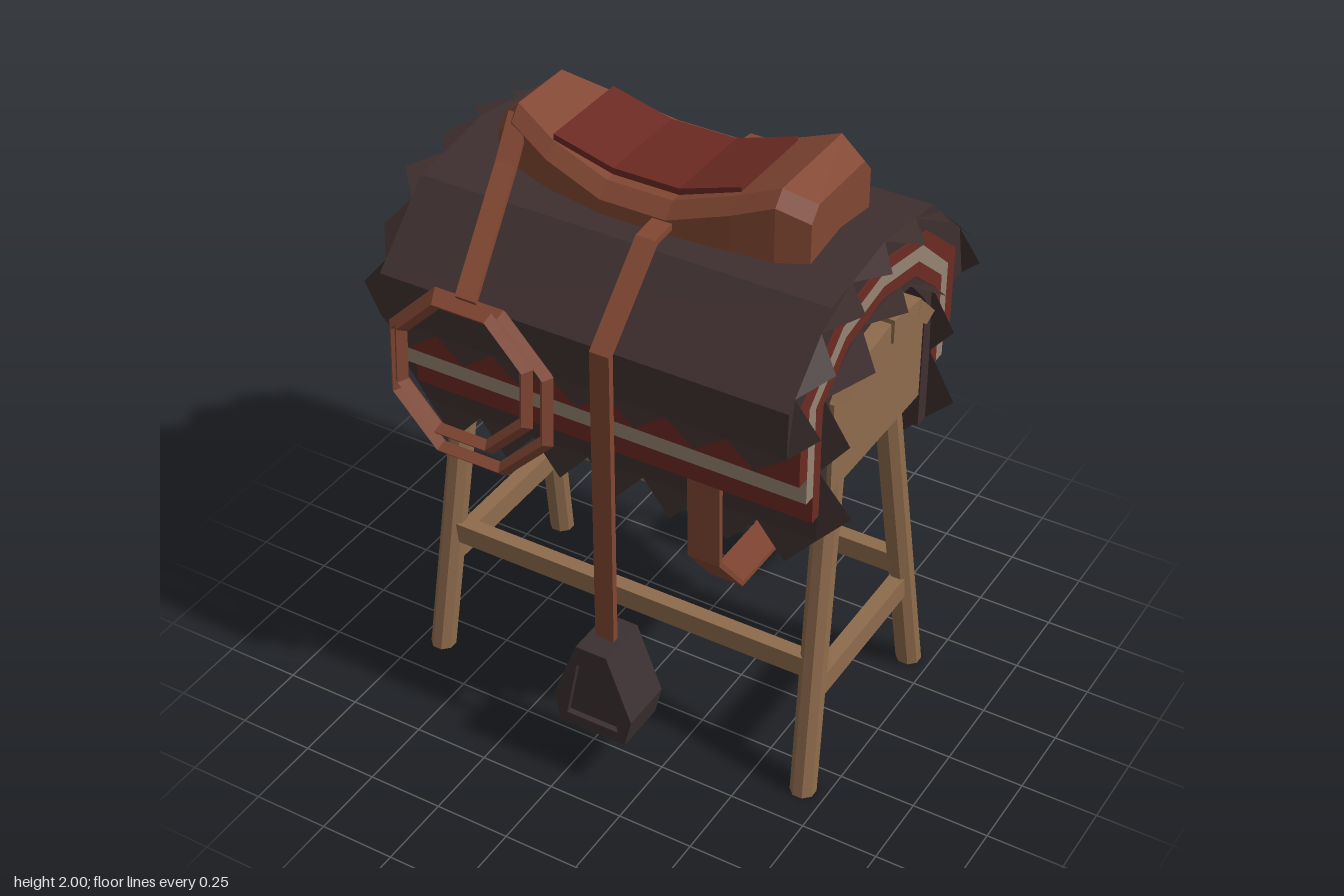
import * as THREE from 'three';

const mat = (name, color, side = THREE.FrontSide) => {
  const m = new THREE.MeshStandardMaterial({ color, side });
  m.name = name;
  return m;
};

// Faceted normals for any geometry
function flat(geo) {
  const g = geo.index ? geo.toNonIndexed() : geo;
  g.computeVertexNormals();
  return g;
}

// Extrude a [z, y] outline along x, from x0 to x1
function extrudeX(pts, x0, x1) {
  const shape = new THREE.Shape(pts.map(([z, y]) => new THREE.Vector2(-z, y)));
  const g = new THREE.ExtrudeGeometry(shape, { depth: x1 - x0, bevelEnabled: false });
  return g.rotateY(Math.PI / 2).translate(x0, 0, 0);
}

// Half profile (bottom to ridge) mirrored to a full arch
const full = (half) => [...half, ...half.slice(0, -1).reverse().map(([z, y]) => [-z, y])];

// Solid arch between an outer and an inner half profile
function arch(outer, inner, len) {
  const cut = inner.map((p, i) => (i ? p : [p[0], outer[0][1]]));
  return extrudeX([...full(outer), ...full(cut).reverse()], -len, len);
}

// Strap of thickness t following a [z, y] path
function band(path, t, x0, x1) {
  const v = path.map(([z, y]) => new THREE.Vector2(z, y));
  const off = (s) => v.map((p, i) => {
    const a = v[Math.max(i - 1, 0)], b = v[Math.min(i + 1, v.length - 1)];
    const d = b.clone().sub(a).normalize();
    return [p.x - d.y * s, p.y + d.x * s];
  });
  return extrudeX([...off(t / 2), ...off(-t / 2).reverse()], x0, x1);
}

// Jagged triangles round both ends and along both hems of a hide
function fringe(half, len, nEnd, nHem, reach, drop) {
  const path = new THREE.CurvePath();
  const v = full(half).map(([z, y]) => new THREE.Vector3(0, y, z));
  for (let i = 1; i < v.length; i++) path.add(new THREE.LineCurve3(v[i - 1], v[i]));
  const pos = [];
  for (const s of [-1, 1]) {
    for (let i = 0; i < nEnd; i++) {
      const a = path.getPoint(i / nEnd), b = path.getPoint((i + 1) / nEnd);
      const m = path.getPoint((i + 0.5) / nEnd);
      const long = reach * (i % 2 ? 0.85 : 1);
      pos.push(s * len, a.y, a.z, s * len, b.y, b.z,
        s * (len + long), m.y - 0.02, m.z * 0.94);
    }
    const [z, y] = half[0];
    for (let i = 0; i < nHem; i++) {
      const w = (2 * len) / nHem, x = -len + i * w;
      pos.push(x, y, s * z, x + w, y, s * z, x + w / 2, y - drop, s * (z + 0.008));
    }
  }
  const g = new THREE.BufferGeometry();
  g.setAttribute('position', new THREE.Float32BufferAttribute(pos, 3));
  g.computeVertexNormals();
  return g;
}

// Saddle body: chamfered sections [x, half width, top height]
function saddleGeometry(sections, bottom) {
  const rings = sections.map(([x, w, top]) => {
    const h = [[w, bottom], [w, top - 0.045], [w - 0.04, top]];
    return [...h, ...h.slice().reverse().map(([z, y]) => [-z, y])].map(([z, y]) => [x, y, z]);
  });
  const pos = [], tri = (...p) => p.forEach((q) => pos.push(...q));
  const n = 6, first = rings[0], last = rings[rings.length - 1];
  for (let i = 0; i < rings.length - 1; i++) {
    for (let j = 0; j < n; j++) {
      const k = (j + 1) % n;
      const a = rings[i][j], b = rings[i][k], c = rings[i + 1][k], d = rings[i + 1][j];
      tri(a, d, b);
      tri(b, d, c);
    }
  }
  for (let j = 1; j < n - 1; j++) {
    tri(first[0], first[j], first[j + 1]);
    tri(last[0], last[j + 1], last[j]);
  }
  const g = new THREE.BufferGeometry();
  g.setAttribute('position', new THREE.Float32BufferAttribute(pos, 3));
  g.computeVertexNormals();
  return g;
}

export function createModel() {
  const wood = mat('wood', 0x8e6b4c);
  const fur = mat('dark fur', 0x3f2f2f, THREE.DoubleSide);
  const red = mat('red cloth', 0x6b2a22);
  const beige = mat('beige cloth', 0x958371);
  const leather = mat('leather', 0x824733);
  const iron = mat('dark stirrup', 0x3b3032);

  const model = new THREE.Group();
  model.name = 'saddleStand';
  const add = (name, geo, material) => {
    const m = new THREE.Mesh(geo, material);
    m.name = name;
    model.add(m);
    return m;
  };
  const box = (w, h, d, x, y, z) => new THREE.BoxGeometry(w, h, d).translate(x, y, z);

  // Wooden trestle: end boards, splayed legs, rails
  const board = full([[0.28, 1.11], [0.28, 1.42], [0.17, 1.5], [0, 1.52]]);
  for (const s of [-1, 1]) {
    add('endBoard', extrudeX(board, s * 0.635 - 0.05, s * 0.635 + 0.05), wood);
    add('endRail', box(0.05, 0.08, 0.6, s * 0.66, 0.36, 0), wood);
    add('longRail', box(1.28, 0.07, 0.05, 0, 0.445, s * 0.288), wood);
    for (const t of [-1, 1]) {
      const leg = new THREE.CylinderGeometry(0.042, 0.042, 1.15, 8).rotateY(Math.PI / 8);
      leg.translate(0, 0.575, 0);
      const p = leg.attributes.position;
      for (let i = 0; i < p.count; i++) {
        const k = p.getY(i) / 1.15;
        p.setX(i, p.getX(i) + s * (0.675 - 0.045 * k));
        p.setZ(i, p.getZ(i) + t * (0.36 - 0.185 * k));
      }
      add('leg', flat(leg), wood);
    }
    // Roof planks with a narrow gap at the ridge
    add('ridgePlank', extrudeX([[s * 0.01, 1.47], [s * 0.165, 1.455], [s * 0.18, 1.53],
      [s * 0.01, 1.55]], -0.72, 0.72), wood);
    add('slopePlank', extrudeX([[s * 0.165, 1.455], [s * 0.23, 1.41], [s * 0.28, 1.43],
      [s * 0.182, 1.525]], -0.72, 0.72), wood);
  }

  // Hides and blankets, nested from the top one down
  const topHide = [[0.545, 1.4], [0.54, 1.55], [0.31, 1.765], [0, 1.81]];
  const outerRed = [[0.475, 1.26], [0.475, 1.53], [0.27, 1.7], [0, 1.75]];
  const middle = [[0.43, 1.17], [0.43, 1.5], [0.245, 1.665], [0, 1.71]];
  const innerRed = [[0.39, 1.075], [0.39, 1.48], [0.225, 1.62], [0, 1.66]];
  const lowHide = [[0.35, 0.98], [0.35, 1.46], [0.205, 1.58], [0, 1.62]];
  const lining = [[0.3, 0.98], [0.3, 1.44], [0.195, 1.55], [0, 1.575]];
  add('topHide', arch(topHide, outerRed, 0.68), fur);
  add('topHideFringe', fringe(topHide, 0.68, 8, 7, 0.085, 0.07), fur);
  add('outerRedBlanket', arch(outerRed, middle, 0.685), red);
  add('beigeBlanket', arch(middle, innerRed, 0.685), beige);
  add('innerRedBlanket', arch(innerRed, lowHide, 0.685), red);
  add('lowHide', arch(lowHide, lining, 0.68), fur);
  add('lowHideFringe', fringe(lowHide, 0.68, 7, 7, 0.1, 0.11), fur);

  // Saddle and padded seat
  add('saddle', saddleGeometry([
    [-0.54, 0.11, 1.9], [-0.46, 0.155, 1.975], [-0.31, 0.205, 1.92], [-0.11, 0.237, 1.867],
    [0.11, 0.237, 1.867], [0.31, 0.225, 1.94], [0.445, 0.213, 2.0], [0.54, 0.175, 1.957],
  ], 1.75), leather);
  const pad = new THREE.Shape([
    [-0.31, 1.85], [0.31, 1.85], [0.31, 1.955], [0.11, 1.888], [-0.11, 1.888], [-0.31, 1.94],
  ].map(([x, y]) => new THREE.Vector2(x, y)));
  add('seatPad', new THREE.ExtrudeGeometry(pad, { depth: 0.325, bevelEnabled: false })
    .translate(0, 0, -0.1625), red);

  // Girth strap looping under the stand
  add('girth', band([[0.378, 1.12], [0.372, 0.78], [0.235, 0.61], [-0.235, 0.61],
    [-0.372, 0.78], [-0.378, 1.12]], 0.018, 0.27, 0.38), leather);

  // Stirrups with straps on both sides
  const vec = (pts) => pts.map(([x, y]) => new THREE.Vector2(x, y));
  const frame = new THREE.Shape(vec([[-0.02, 0.2], [0.212, 0.2], [0.235, 0.3], [0.15, 0.52],
    [0.042, 0.52], [-0.04, 0.3]]));
  const opening = vec([[0.005, 0.24], [0.045, 0.45], [0.147, 0.45], [0.187, 0.24]]);
  frame.holes.push(new THREE.Path(opening));
  for (const s of [-1, 1]) {
    add('stirrupStrap', band([[s * 0.2, 1.81], [s * 0.32, 1.8], [s * 0.568, 1.56],
      [s * 0.568, 0.5]], 0.022, 0.065, 0.13), leather);
    add('stirrup', new THREE.ExtrudeGeometry(frame, { depth: 0.18, bevelEnabled: false })
      .translate(0, 0, s * 0.565 - 0.09), iron);
    add('stirrupCore', new THREE.ExtrudeGeometry(new THREE.Shape(opening),
      { depth: 0.14, bevelEnabled: false }).translate(0, 0, s * 0.565 - 0.07), iron);
  }

  // Coiled rope hanging from a slanted strap
  const rope = (r, y, z, tilt) => {
    const ring = add('ropeCoil', flat(new THREE.TorusGeometry(r, 0.025, 4, 8)
      .rotateZ(Math.PI / 8)), leather);
    ring.position.set(-0.342, y, z);
    ring.rotation.x = tilt;
  };
  rope(0.235, 1.36, 0.62, -0.06);
  rope(0.285, 1.31, 0.585, -0.05);
  const hanger = band([[0.12, 1.94], [0.24, 1.84], [0.59, 1.6]], 0.02, -0.035, 0.035);
  const hp = hanger.attributes.position;
  for (let i = 0; i < hp.count; i++) {
    hp.setX(i, hp.getX(i) - 0.455 + ((hp.getZ(i) - 0.12) / 0.47) * 0.115);
  }
  add('ropeStrap', flat(hanger), leather);

  return model;
}
